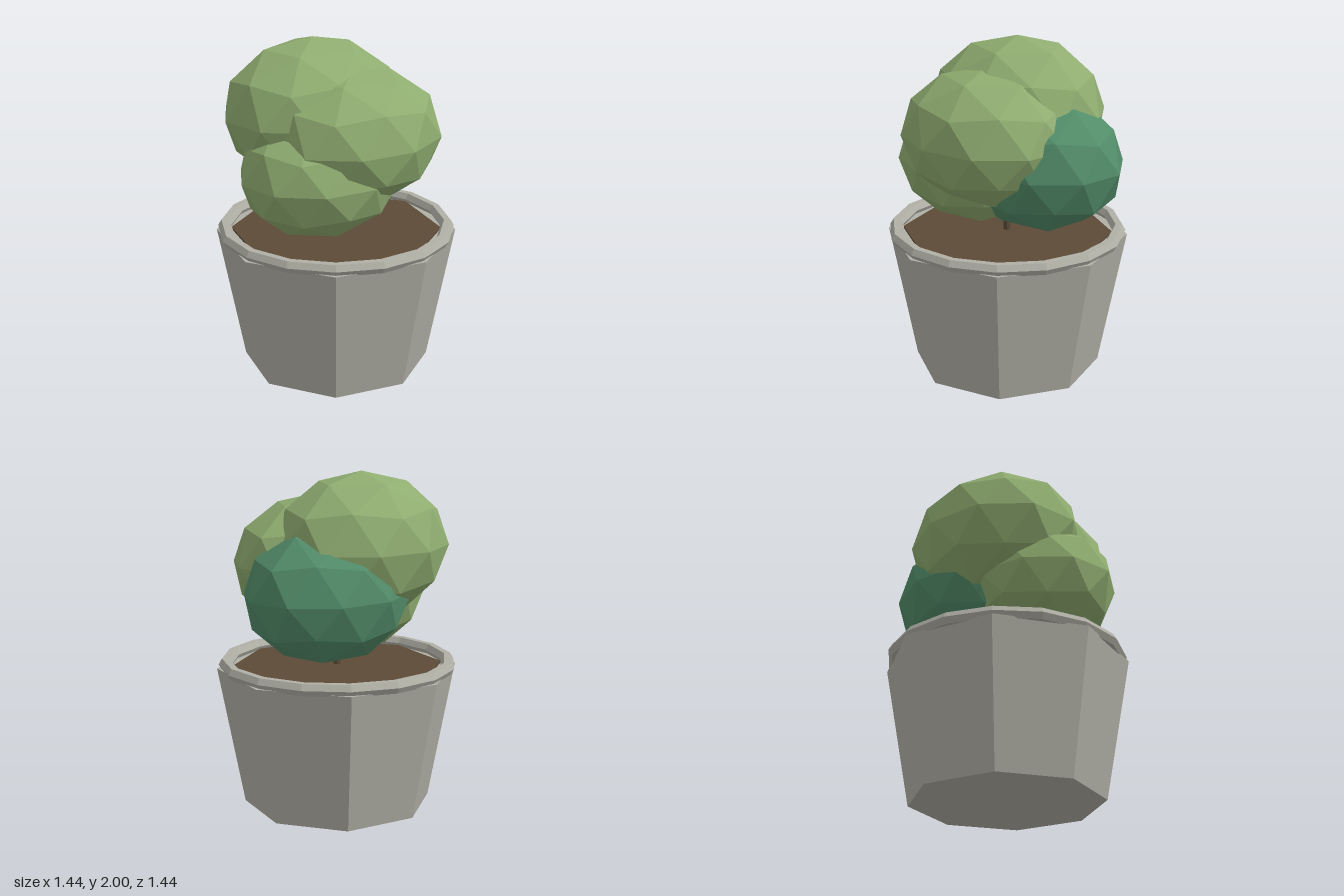
import * as THREE from 'three';

const flat = (name, color) => {
  const m = new THREE.MeshStandardMaterial({ color, flatShading: true });
  m.name = name;
  return m;
};

export function createModel() {
  const group = new THREE.Group();
  const stone = flat('stone grey', 0xb0afa5);
  const earth = flat('soil brown', 0x5c4a36);
  const leaf = flat('light leaf green', 0x8fac70);
  const darkLeaf = flat('dark leaf green', 0x528c69);

  const add = (name, geometry, material, x, y, z) => {
    const mesh = new THREE.Mesh(geometry, material);
    mesh.name = name;
    mesh.position.set(x, y, z);
    group.add(mesh);
    return mesh;
  };

  // Octagonal tapered pot with a sixteen-sided rim
  add('pot', new THREE.CylinderGeometry(0.72, 0.565, 0.835, 8), stone, 0, 0.4175, 0);
  const rim = new THREE.TorusGeometry(0.67, 0.04, 6, 16).rotateX(Math.PI / 2);
  add('potRim', rim, stone, 0, 0.86, 0);

  // Soil and stem
  add('soil', new THREE.CylinderGeometry(0.63, 0.63, 0.012, 8), earth, 0, 0.841, 0);
  add('stem', new THREE.CylinderGeometry(0.022, 0.022, 0.42, 8), earth, 0, 1.05, 0);

  // Faceted foliage: icospheres with a vertex at the top, stretched to size
  const pole = Math.atan((1 + Math.sqrt(5)) / 2);
  const foliage = (name, material, [x, y, z], [rx, ry, rz]) => {
    const g = new THREE.IcosahedronGeometry(1, 1);
    g.rotateX(-pole).rotateY(Math.PI / 2).scale(rx, ry, rz);
    g.computeVertexNormals();
    add(name, g, material, x, y, z);
  };
  foliage('topFoliage', leaf, [-0.06, 1.57, -0.13], [0.568, 0.43, 0.485]);
  foliage('frontFoliage', leaf, [0, 1.46, 0.15], [0.555, 0.403, 0.47]);
  foliage('rightFoliage', leaf, [-0.2, 1.265, 0.075], [0.503, 0.37, 0.44]);
  foliage('leftFoliage', darkLeaf, [0.194, 1.315, -0.085], [0.537, 0.41, 0.45]);

  return group;
}
